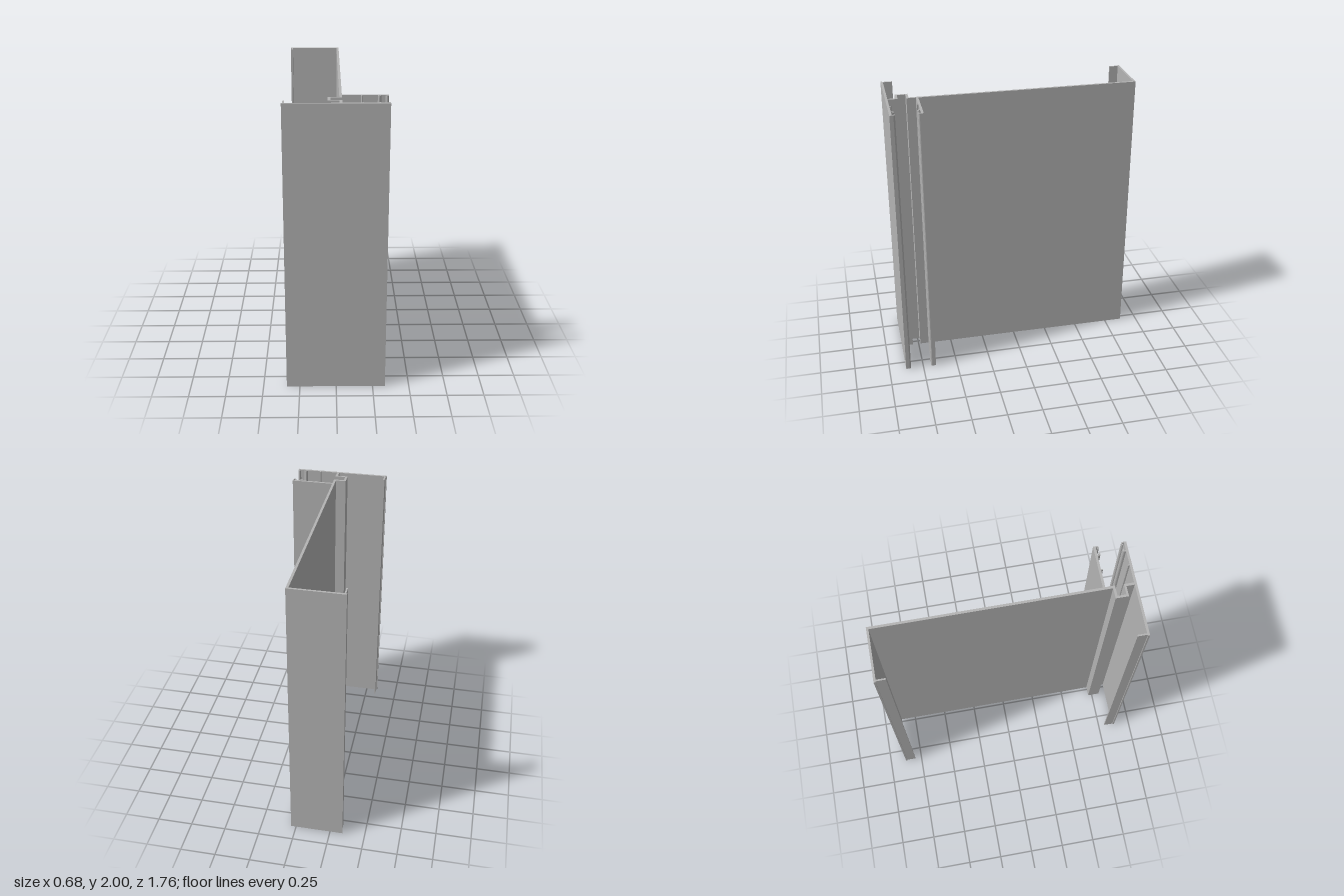
import * as THREE from 'three';

const HEIGHT = 2;
const MID_Z = 0.767; // mirror line between the two channel arms

export function createModel() {
  const group = new THREE.Group();
  group.name = 'extrudedProfile';
  const metal = new THREE.MeshStandardMaterial({ color: 0xb4b4b4 });
  metal.name = 'plain grey metal';

  // Extrude an (x, z) outline up the full height
  function addShape(name, shape) {
    const geo = new THREE.ExtrudeGeometry(shape, { depth: HEIGHT, bevelEnabled: false, curveSegments: 10 });
    geo.rotateX(Math.PI / 2).translate(0, HEIGHT, 0);
    const mesh = new THREE.Mesh(geo, metal);
    mesh.name = name;
    group.add(mesh);
  }
  const addOutline = (name, pts) =>
    addShape(name, new THREE.Shape(pts.map(([x, z]) => new THREE.Vector2(x, z))));

  // Web with its stepped groove, from back corner to front flange
  addOutline('web', [
    [0.02, -0.863], [0.037, -0.863], [0.037, 0.736], [-0.037, 0.736], [-0.037, 0.794],
    [0.037, 0.794], [0.037, 0.862], [0.02, 0.862], [0.02, 0.808], [-0.053, 0.808],
    [-0.053, 0.72], [0.02, 0.72],
  ]);

  // Flanges with a short lip, slightly inset from the outer edge
  addOutline('backFlange', [
    [-0.34, -0.878], [0.037, -0.878], [0.037, -0.863], [-0.322, -0.863],
    [-0.322, -0.8], [-0.333, -0.8], [-0.333, -0.866], [-0.34, -0.866],
  ]);
  addOutline('frontFlange', [
    [-0.34, 0.878], [0.335, 0.878], [0.335, 0.862], [-0.322, 0.862],
    [-0.322, 0.798], [-0.333, 0.798], [-0.333, 0.866], [-0.34, 0.866],
  ]);

  // Inner arm of the channel
  addOutline('innerArm', [[0.037, 0.656], [0.335, 0.656], [0.335, 0.672], [0.037, 0.672]]);

  // Curled hook: a stem that bends round a half ring; dir is the stem's side
  function addHook(name, cx, dir, mirror) {
    const pts = [];
    const put = (x, z) => pts.push([x, mirror ? 2 * MID_Z - z : z]);
    const outer = 0.011, inner = 0.003, cz = 0.682;
    put(cx + dir * outer, 0.672);
    for (let i = 0; i <= 8; i++) {
      const a = (i / 8) * Math.PI;
      put(cx + dir * outer * Math.cos(a), cz + outer * Math.sin(a));
    }
    for (let i = 8; i >= 0; i--) {
      const a = (i / 8) * Math.PI;
      put(cx + dir * inner * Math.cos(a), cz + inner * Math.sin(a));
    }
    put(cx + dir * inner, 0.672);
    addOutline(name, pts);
  }

  // Matching hooks and small ribs on the facing sides of both arms
  for (const mirror of [false, true]) {
    const side = mirror ? 'front' : 'inner';
    addHook(side + 'EndHook', 0.324, 1, mirror);
    addHook(side + 'MiddleHook', 0.275, -1, mirror);
    const z = (v) => (mirror ? 2 * MID_Z - v : v);
    addOutline(side + 'Rib', [
      [0.159, z(0.672)], [0.159, z(0.682)], [0.163, z(0.686)], [0.167, z(0.682)], [0.167, z(0.672)],
    ]);
  }
  return group;
}
